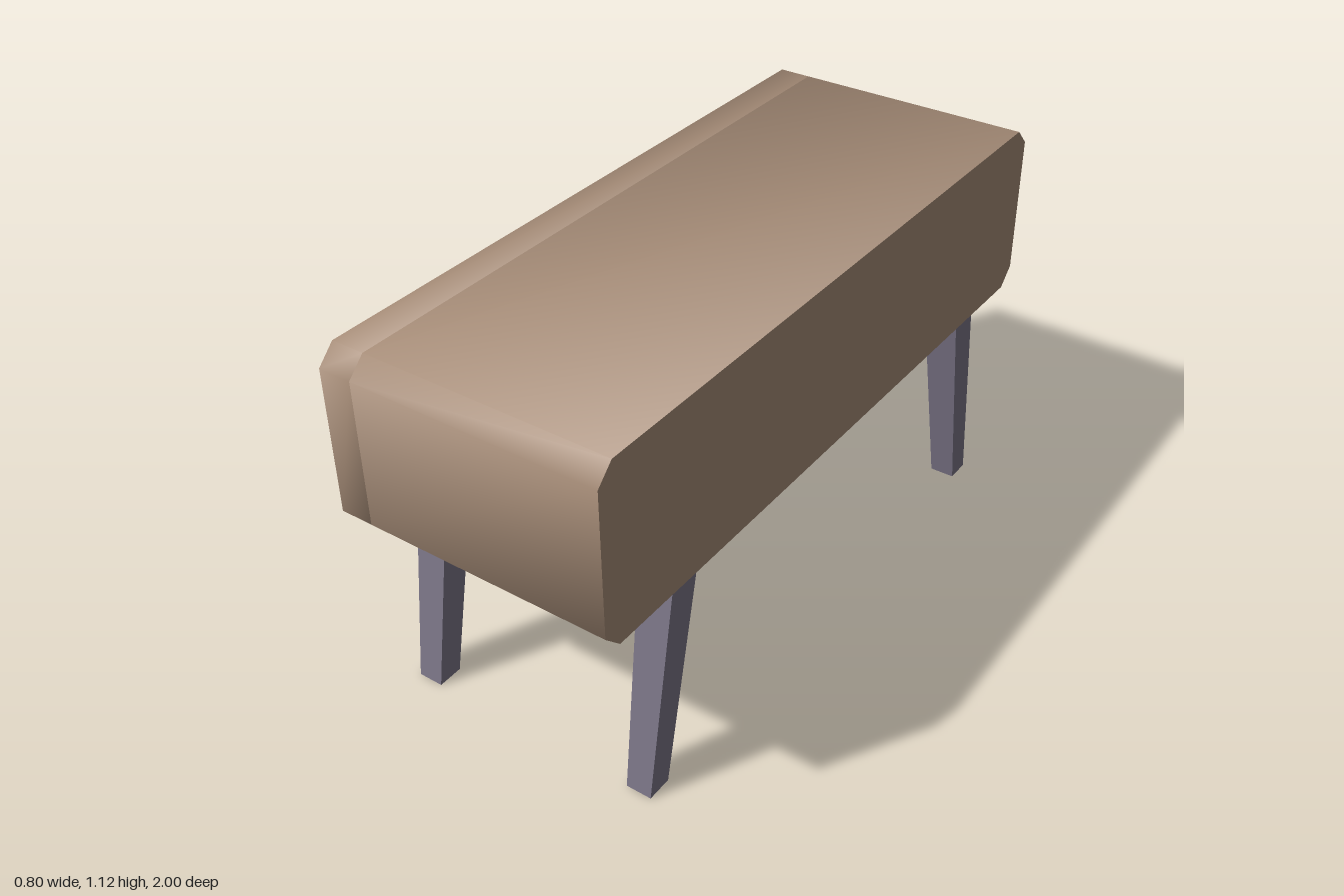
import * as THREE from 'three';
import { toCreasedNormals } from 'three/addons/utils/BufferGeometryUtils.js';

const material = (name, color) => {
  const m = new THREE.MeshStandardMaterial({ color });
  m.name = name;
  return m;
};

export function createModel() {
  const group = new THREE.Group();
  const wood = material('brown wood', 0xa88e79);
  const legPaint = material('purple grey', 0x7d7789);
  const panelPaint = material('light grey', 0xb9bec1);

  const add = (name, geometry, mat) => {
    const mesh = new THREE.Mesh(geometry, mat);
    mesh.name = name;
    group.add(mesh);
    return mesh;
  };

  // Cabinet outline with chamfered corners, drawn in the z-y plane
  const B = 0.61, T = 1.12, C = 0.05;
  const outline = () => new THREE.Shape([
    [-1 + C, B], [1 - C, B], [1, B + C], [1, T - C],
    [1 - C, T], [-1 + C, T], [-1, T - C], [-1, B + C],
  ].map(([z, y]) => new THREE.Vector2(z, y)));

  // Extrude along x, softening the chamfers but keeping the end faces sharp
  const slab = (shape, x0, x1) => {
    const g = new THREE.ExtrudeGeometry(shape, { depth: x1 - x0, bevelEnabled: false });
    g.rotateY(Math.PI / 2).translate(x0, 0, 0);
    return toCreasedNormals(g, Math.PI / 3);
  };

  add('cabinetBody', slab(outline(), -0.305, 0.4), wood);

  // Drawer side: frame with two openings
  const zIn = 0.05, zOut = 0.915, yLow = 0.70, yHigh = 1.025;
  const frame = outline();
  for (const s of [-1, 1]) {
    frame.holes.push(new THREE.Path([
      [s * zIn, yLow], [s * zIn, yHigh], [s * zOut, yHigh], [s * zOut, yLow],
    ].map(([z, y]) => new THREE.Vector2(z, y))));
  }
  add('drawerFrame', slab(frame, -0.4, -0.305), wood);

  // Drawer panels and their tapered handles
  const midZ = (zIn + zOut) / 2, midY = (yLow + yHigh) / 2;
  const handleShape = new THREE.Shape([
    [-0.105, 0], [0.105, 0], [0.077, 0.042], [-0.077, 0.042],
  ].map(([z, x]) => new THREE.Vector2(z, x)));
  for (const s of [-1, 1]) {
    const panel = add('drawerPanel', new THREE.BoxGeometry(0.006, yHigh - yLow, zOut - zIn), panelPaint);
    panel.position.set(-0.305, midY, s * midZ);

    const g = new THREE.ExtrudeGeometry(handleShape, { depth: 0.072, bevelEnabled: false });
    g.translate(0, 0, -0.036).rotateX(-Math.PI / 2).rotateY(Math.PI / 2);
    const handle = add('drawerHandle', g, wood);
    handle.position.set(-0.304, midY - 0.004, s * midZ);
  }

  // Splayed legs, narrowing towards the floor
  const leg = (sx, sz) => {
    const g = new THREE.BoxGeometry(1, 1, 1);
    const p = g.attributes.position;
    for (let i = 0; i < p.count; i++) {
      const top = p.getY(i) > 0;
      const [halfX, z, halfZ] = top ? [0.05, 0.704, 0.048] : [0.037, 0.805, 0.037];
      p.setXYZ(i,
        sx * 0.35 + Math.sign(p.getX(i)) * halfX,
        top ? B : 0,
        sz * z + Math.sign(p.getZ(i)) * halfZ);
    }
    g.computeVertexNormals();
    return g;
  };
  for (const sx of [-1, 1]) {
    for (const sz of [-1, 1]) {
      add(`${sz > 0 ? 'front' : 'back'}${sx > 0 ? 'Left' : 'Right'}Leg`, leg(sx, sz), legPaint);
    }
  }

  return group;
}
